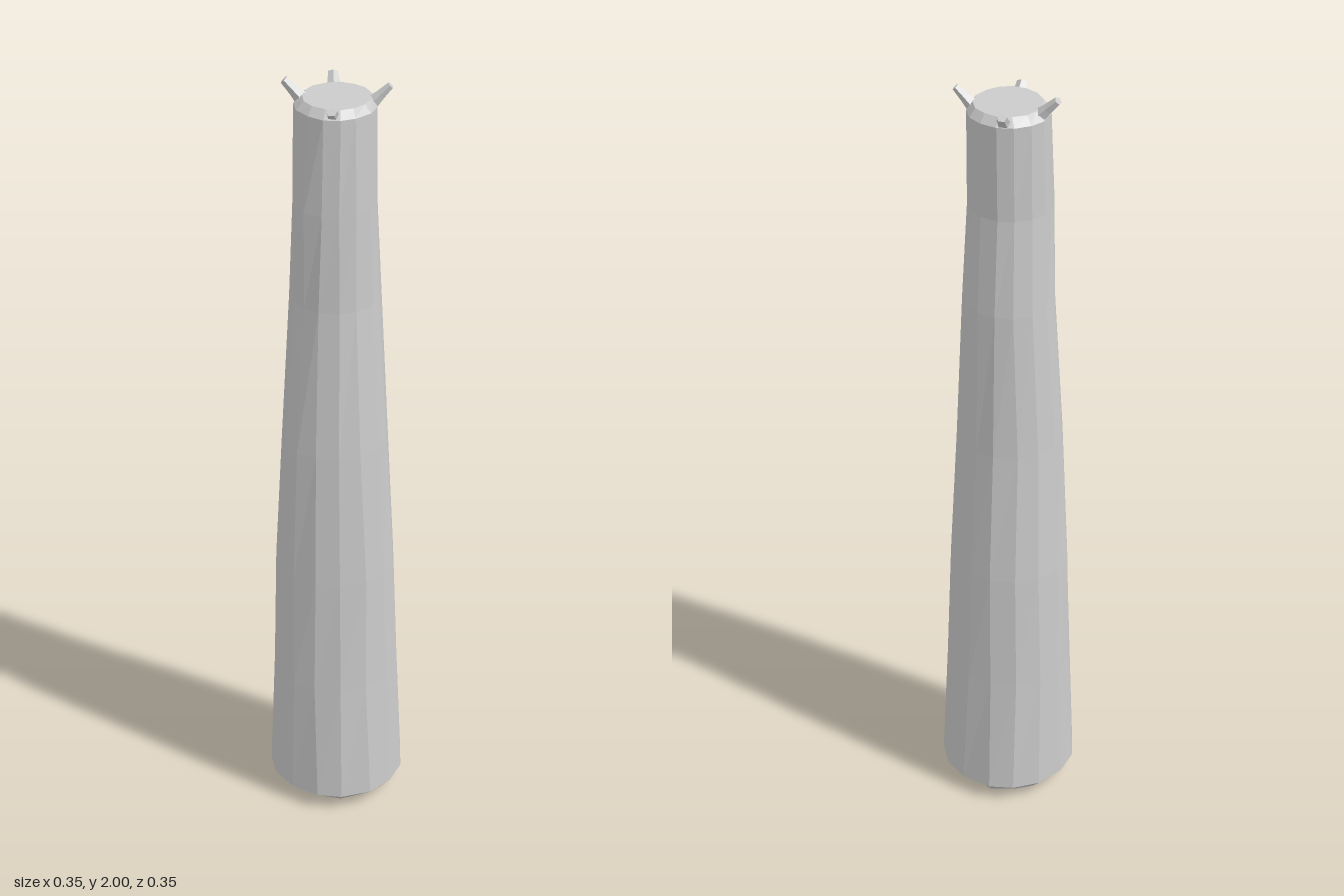
import * as THREE from 'three';

const SIDES = 15;

// Small repeatable noise in -1..1
function makeNoise(seed) {
  let s = seed;
  return () => {
    s = (s * 16807) % 2147483647;
    return (s / 2147483647) * 2 - 1;
  };
}

// Joins closed rings of points into one faceted solid, capped at both ends
function loft(rings) {
  const pos = [];
  const tri = (a, b, c) => pos.push(...a.toArray(), ...b.toArray(), ...c.toArray());
  const n = rings[0].length;
  for (let i = 0; i < rings.length - 1; i++) {
    for (let j = 0; j < n; j++) {
      const k = (j + 1) % n;
      const [a, b, c, d] = [rings[i][j], rings[i][k], rings[i + 1][k], rings[i + 1][j]];
      tri(a, b, c);
      tri(a, c, d);
    }
  }
  const centre = (ring) => ring.reduce((s, p) => s.add(p), new THREE.Vector3()).divideScalar(n);
  const first = rings[0], last = rings[rings.length - 1];
  const c0 = centre(first), c1 = centre(last);
  for (let j = 0; j < n; j++) {
    const k = (j + 1) % n;
    tri(c0, first[k], first[j]);
    tri(c1, last[j], last[k]);
  }
  const geo = new THREE.BufferGeometry();
  geo.setAttribute('position', new THREE.Float32BufferAttribute(pos, 3));
  geo.computeVertexNormals();
  return geo;
}

export function createModel() {
  const model = new THREE.Group();
  const material = new THREE.MeshStandardMaterial({ color: 0xcccccc, flatShading: true });
  const add = (name, geo) => {
    const mesh = new THREE.Mesh(geo, material);
    mesh.name = name;
    model.add(mesh);
  };

  // Trunk: height, radius, centre x, centre z, roughness
  const noise = makeNoise(4127);
  const profile = [
    [0.008, 0.136, 0, 0, 0.006],
    [0.045, 0.175, 0, 0, 0.002],
    [0.38, 0.162, -0.002, 0.002, 0.003],
    [0.7, 0.15, -0.003, 0.003, 0.004],
    [1.06, 0.133, -0.006, 0.006, 0.004],
    [1.45, 0.112, -0.005, -0.002, 0.004],
    [1.7, 0.102, -0.004, 0.006, 0.003],
    [1.942, 0.099, -0.002, 0, 0.002],
    [1.962, 0.082, 0, 0, 0.002],
  ];
  const rings = profile.map(([y, r, cx, cz, rough], i) =>
    Array.from({ length: SIDES }, (_, j) => {
      const a = ((j + 0.08 * noise()) / SIDES) * Math.PI * 2 + Math.PI;
      const rr = r + rough * noise();
      const yy = i === 0 ? Math.max(0, y + 0.008 * noise()) : y;
      return new THREE.Vector3(cx + Math.sin(a) * rr, yy, cz + Math.cos(a) * rr);
    }));
  add('trunk', loft(rings));

  // Prongs: tapered stubs leaning out over the rim
  // name, base point, tip point, base width, tip width
  const prongs = [
    ['leftProng', [0.078, 1.942, -0.011], [0.123, 1.988, -0.015], 0.042, 0.02],
    ['rightProng', [-0.078, 1.942, -0.012], [-0.125, 1.99, -0.015], 0.046, 0.024],
    ['backProng', [-0.016, 1.942, -0.078], [-0.022, 1.975, -0.112], 0.038, 0.024],
    ['frontProng', [0.001, 1.94, 0.076], [0, 1.966, 0.105], 0.036, 0.026],
  ];
  for (const [name, base, tip, w0, w1] of prongs) {
    const a = new THREE.Vector3(...base), b = new THREE.Vector3(...tip);
    const dir = b.clone().sub(a).normalize();
    const side = new THREE.Vector3(0, 1, 0).cross(dir).normalize();
    const up = dir.clone().cross(side);
    // Five-sided section around the prong's axis
    const section = (p, w) => Array.from({ length: 5 }, (_, j) => {
      const t = (j / 5) * Math.PI * 2 + Math.PI / 2;
      return p.clone()
        .addScaledVector(side, Math.cos(t) * w * 0.52)
        .addScaledVector(up, Math.sin(t) * w * 0.42);
    });
    add(name, loft([section(a, w0), section(a.clone().lerp(b, 0.5), (w0 + w1) * 0.46), section(b, w1)]));
  }

  return model;
}
